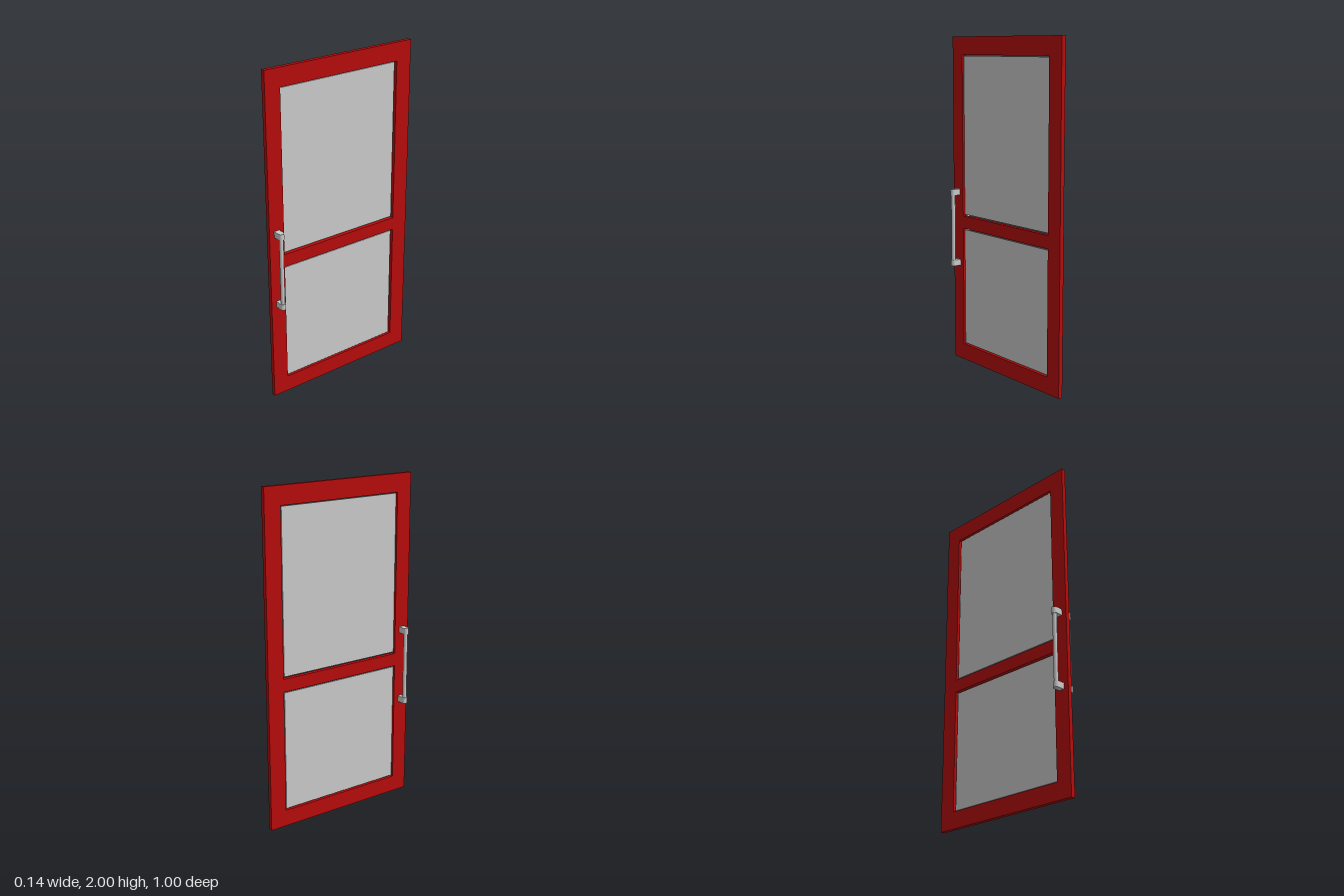
import * as THREE from 'three';

const red = new THREE.MeshStandardMaterial({ color: 0xb80c0c });
const grey = new THREE.MeshStandardMaterial({ color: 0xcccccc });

const THICK = 0.026;
// Openings as [zMin, zMax, yMin, yMax]
const openings = [[-0.398, 0.403, 0.914, 1.892], [-0.398, 0.403, 0.1, 0.837]];
const panes = [[-0.388, 0.398, 0.924, 1.886], [-0.388, 0.398, 0.106, 0.828]];

function trace(path, [z0, z1, y0, y1]) {
  path.moveTo(z0, y0);
  path.lineTo(z1, y0);
  path.lineTo(z1, y1);
  path.lineTo(z0, y1);
  path.closePath();
  return path;
}

function addMesh(parent, name, geometry, material) {
  const mesh = new THREE.Mesh(geometry, material);
  mesh.name = name;
  parent.add(mesh);
  return mesh;
}

export function createModel() {
  const door = new THREE.Group();
  door.name = 'door';

  // Frame with two openings, extruded through the door's thickness
  const outline = trace(new THREE.Shape(), [-0.5, 0.5, 0, 2]);
  for (const o of openings) outline.holes.push(trace(new THREE.Path(), o));
  const frame = new THREE.ExtrudeGeometry(outline, { depth: THICK, bevelEnabled: false });
  frame.translate(0, 0, -THICK / 2).rotateY(-Math.PI / 2);
  addMesh(door, 'frame', frame, red);

  // Panes, set in with a small gap all round
  panes.forEach(([z0, z1, y0, y1], i) => {
    const pane = addMesh(door, i ? 'lowerPane' : 'upperPane',
      new THREE.BoxGeometry(0.008, y1 - y0, z1 - z0), grey);
    pane.position.set(0, (y0 + y1) / 2, (z0 + z1) / 2);
  });

  // Pull handle: two round-ended brackets through the frame and a bar on each side
  const handle = new THREE.Group();
  handle.name = 'handle';
  handle.position.z = 0.451;
  door.add(handle);

  const r = 0.0175, reach = 0.054, height = 0.037;
  const stadium = new THREE.Shape();
  stadium.absarc(reach, 0, r, -Math.PI / 2, Math.PI / 2);
  stadium.absarc(-reach, 0, r, Math.PI / 2, Math.PI * 1.5);
  stadium.closePath();
  const bracket = new THREE.ExtrudeGeometry(stadium, { depth: height, bevelEnabled: false, curveSegments: 16 });
  bracket.rotateX(-Math.PI / 2);
  addMesh(handle, 'lowerBracket', bracket, grey).position.y = 0.599;
  addMesh(handle, 'upperBracket', bracket, grey).position.y = 1.041;

  const bar = new THREE.CylinderGeometry(0.0125, 0.0125, 0.42, 24);
  for (const side of [-1, 1]) {
    addMesh(handle, side > 0 ? 'leftBar' : 'rightBar', bar, grey)
      .position.set(side * reach, 0.8385, 0);
  }
  return door;
}
